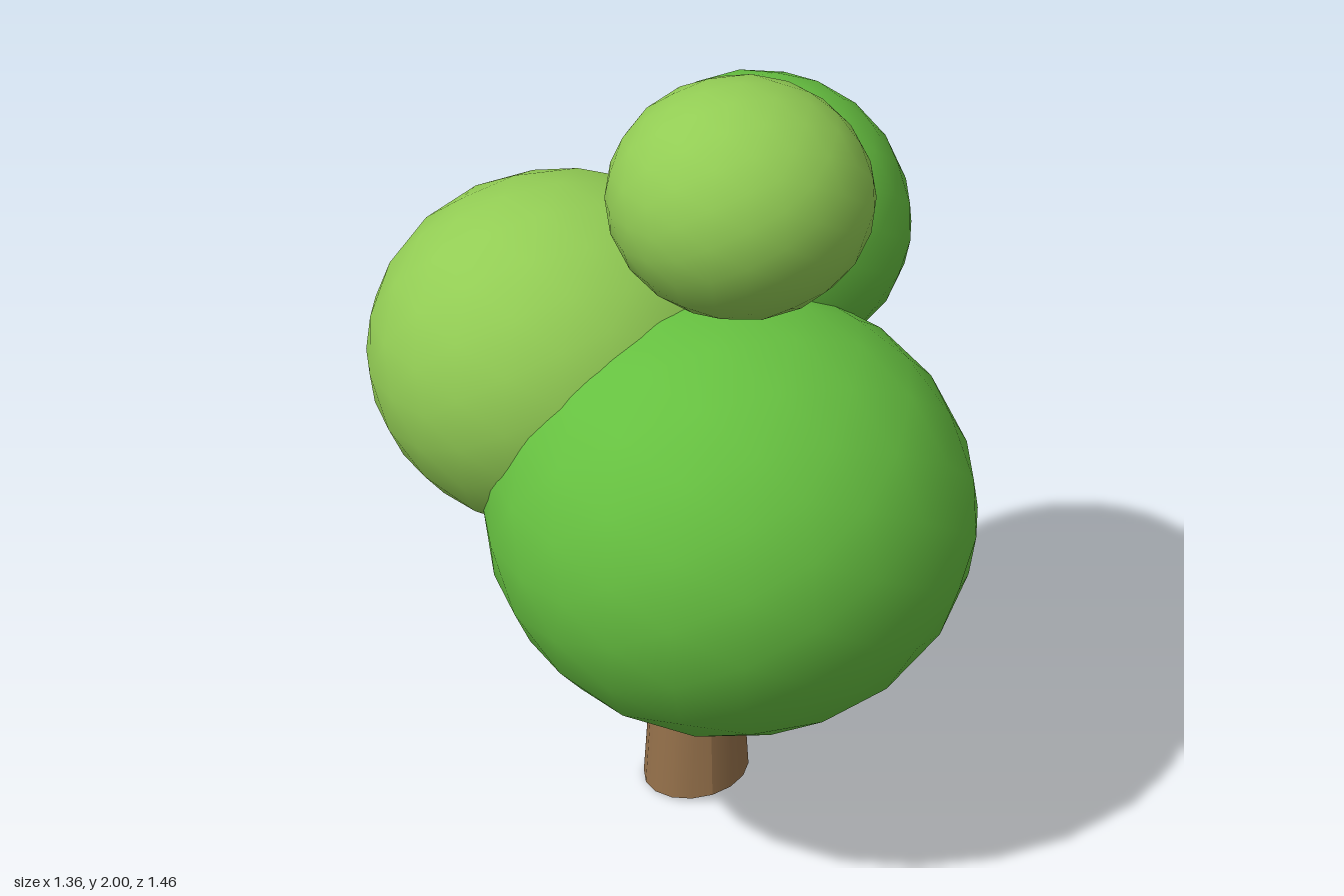
import * as THREE from 'three';

const material = (color) => new THREE.MeshStandardMaterial({ color });

export function createModel() {
  const tree = new THREE.Group();
  tree.name = 'tree';
  const darkLeaf = material(0x66c040);
  const lightLeaf = material(0x92cc54);
  const bark = material(0x94704a);

  // Tapered trunk with a slanted foot, its top hidden in the foliage
  const height = 0.8;
  const trunkGeometry = new THREE.CylinderGeometry(0.085, 0.137, height, 16);
  trunkGeometry.translate(0, height / 2, 0);
  const p = trunkGeometry.attributes.position;
  for (let i = 0; i < p.count; i++) {
    if (p.getY(i) < 0.01) p.setY(i, 0.02 + p.getX(i) * 0.145);
  }
  trunkGeometry.computeVertexNormals();
  const trunk = new THREE.Mesh(trunkGeometry, bark);
  trunk.name = 'trunk';
  trunk.position.set(0.096, 0, -0.13);
  tree.add(trunk);

  // Foliage: squashed icospheres with smooth normals
  const leafGeometry = new THREE.IcosahedronGeometry(1, 3);
  const addFoliage = (name, mat, center, radii, tilt = 0) => {
    const mesh = new THREE.Mesh(leafGeometry, mat);
    mesh.name = name;
    mesh.position.set(...center);
    mesh.scale.set(...radii);
    mesh.rotation.x = tilt;
    tree.add(mesh);
  };
  addFoliage('mainFoliage', darkLeaf, [0.09, 0.935, 0.145], [0.587, 0.527, 0.587]);
  addFoliage('rightRearFoliage', darkLeaf, [0.312, 1.478, -0.303], [0.366, 0.345, 0.392], 0.12);
  addFoliage('leftRearFoliage', lightLeaf, [-0.205, 1.215, -0.255], [0.477, 0.431, 0.477]);
  addFoliage('topFoliage', lightLeaf, [0.103, 1.73, 0.152], [0.305, 0.271, 0.305]);

  return tree;
}
